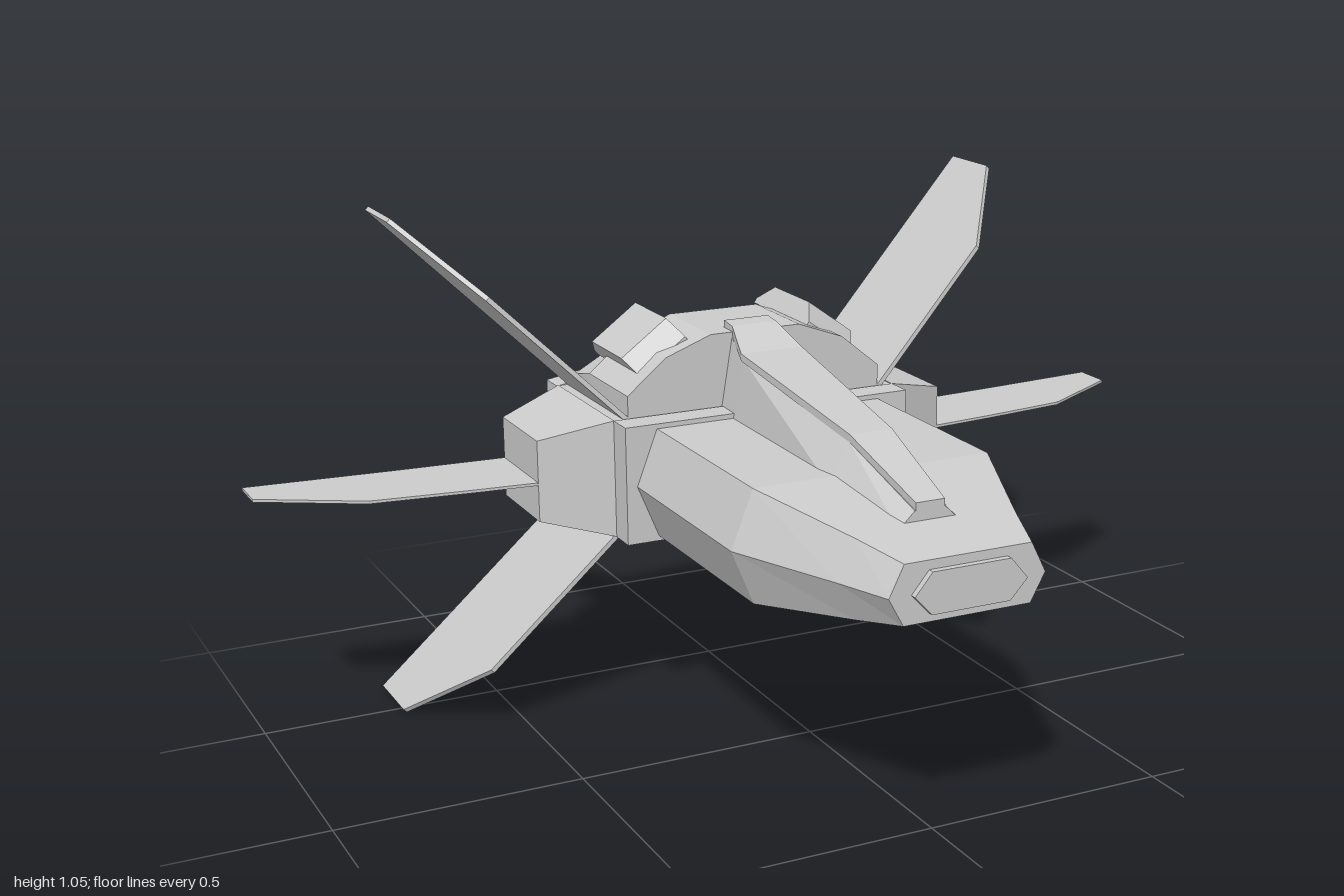
import * as THREE from 'three';

const material = new THREE.MeshStandardMaterial({ color: 0xcccccc, flatShading: true });

// Skin a list of convex rings (counter-clockwise seen from +z, ordered back to front) and cap both ends
function loft(rings) {
  const n = rings[0].length, last = (rings.length - 1) * n, index = [];
  for (let r = 0; r < rings.length - 1; r++)
    for (let i = 0; i < n; i++) {
      const a = r * n + i, b = r * n + (i + 1) % n;
      index.push(a, b, b + n, a, b + n, a + n);
    }
  for (let i = 1; i < n - 1; i++) {
    index.push(0, i + 1, i);
    index.push(last, last + i, last + i + 1);
  }
  const g = new THREE.BufferGeometry();
  g.setAttribute('position', new THREE.Float32BufferAttribute(rings.flat(2), 3));
  g.setIndex(index);
  const flat = g.toNonIndexed();
  flat.computeVertexNormals();
  return flat;
}

// Six-sided ring: w = half width at the waist, t = half width at top and bottom
const hexRing = (z, w, t, bottom, mid, top) => [
  [w, mid, z], [t, top, z], [-t, top, z], [-w, mid, z], [-t, bottom, z], [t, bottom, z]];

// Four-sided ring, tapering from base to top
const quadRing = (z, base, top, y0, y1) => [
  [base, y0, z], [top, y1, z], [-top, y1, z], [-base, y0, z]];

// Symmetric ring from its right-hand half, listed bottom to top
const mirrorRing = (z, half) => [
  ...half.map(([x, y]) => [x, y, z]),
  ...half.slice().reverse().map(([x, y]) => [-x, y, z])];

// Thin plate from an outline of (distance outward, z), tilted about the z axis
function blade(outline, thickness, angle, x, y) {
  const shape = new THREE.Shape(outline.map(p => new THREE.Vector2(...p)));
  const g = new THREE.ExtrudeGeometry(shape, { depth: thickness, bevelEnabled: false });
  g.translate(0, 0, -thickness / 2);
  g.rotateX(Math.PI / 2);
  g.rotateZ(angle);
  g.translate(x, y, 0);
  return g;
}

export function createModel() {
  const group = new THREE.Group();
  const add = (name, geometry) => {
    const mesh = new THREE.Mesh(geometry, material);
    mesh.name = name;
    group.add(mesh);
    return mesh;
  };

  // Long hull with a tapering nose and a small nose plate
  add('hull', loft([
    hexRing(-0.2, 0.295, 0.25, 0.41, 0.52, 0.635),
    hexRing(0.26, 0.295, 0.25, 0.41, 0.52, 0.635),
    hexRing(0.5, 0.2, 0.165, 0.445, 0.52, 0.598),
    hexRing(0.612, 0.16, 0.13, 0.465, 0.52, 0.58)]));
  add('nosePlate', loft([
    hexRing(0.6, 0.115, 0.08, 0.482, 0.52, 0.562),
    hexRing(0.625, 0.115, 0.08, 0.482, 0.52, 0.562)]));

  // Collar and the engine section behind it
  const collar = new THREE.BoxGeometry(0.636, 0.245, 0.06);
  add('collar', collar.translate(0, 0.5225, -0.21));
  const core = new THREE.BoxGeometry(0.636, 0.242, 0.32);
  add('engineSection', core.translate(0, 0.5225, -0.395));

  // Faceted hump on top of the engine section
  add('upperHump', loft([
    mirrorRing(-0.55, [[0.285, 0.63], [0.28, 0.665], [0.19, 0.715], [0.1, 0.74]]),
    mirrorRing(-0.45, [[0.285, 0.63], [0.285, 0.69], [0.2, 0.76], [0.1, 0.797]]),
    mirrorRing(-0.245, [[0.285, 0.63], [0.285, 0.69], [0.2, 0.76], [0.1, 0.797]])]));

  // Rear bulkhead with an exhaust plate
  const rear = [[0.16, 0.37], [0.32, 0.402], [0.32, 0.643], [0.19, 0.665]];
  add('rearBulkhead', loft([mirrorRing(-0.61, rear), mirrorRing(-0.55, rear)]));
  add('exhaustPlate', loft([
    hexRing(-0.625, 0.255, 0.2, 0.43, 0.52, 0.615),
    hexRing(-0.6, 0.255, 0.2, 0.43, 0.52, 0.615)]));

  // Raised spine with a thin cover plate
  add('spine', loft([
    quadRing(-0.27, 0.08, 0.05, 0.62, 0.795),
    quadRing(-0.17, 0.085, 0.062, 0.62, 0.755),
    quadRing(0.25, 0.092, 0.045, 0.62, 0.693),
    quadRing(0.475, 0.065, 0.032, 0.59, 0.622)]));
  add('spineCover', loft([
    quadRing(-0.29, 0.05, 0.05, 0.79, 0.812),
    quadRing(-0.25, 0.05, 0.05, 0.785, 0.808),
    quadRing(-0.17, 0.068, 0.068, 0.755, 0.77),
    quadRing(0.25, 0.045, 0.045, 0.692, 0.708),
    quadRing(0.475, 0.03, 0.03, 0.62, 0.637)]));

  // Blade outlines: distance outward, then z
  const upperFin = [[-0.06, -0.24], [0, -0.245], [0.365, -0.29], [0.555, -0.475], [0.555, -0.622], [0, -0.55], [-0.06, -0.545]];
  const lowerFin = [[-0.06, -0.24], [0, -0.245], [0.372, -0.287], [0.56, -0.475], [0.56, -0.622], [0, -0.55], [-0.06, -0.545]];
  const sideWing = [[0.4, -0.29], [0.6, -0.31], [0.8, -0.335], [1, -0.45], [1, -0.535], [0.7, -0.51], [0.4, -0.49]];

  for (const side of [1, -1]) {
    const label = side > 0 ? 'left' : 'right';
    const tilt = a => (side > 0 ? a : Math.PI - a);

    // Tapered engine block: lofted along z, then turned outward
    const block = loft([
      [[0.155, -0.1225, 0], [0.155, 0.1225, 0], [-0.155, 0.1225, 0], [-0.155, -0.1225, 0]],
      [[0.1, -0.085, 0.145], [0.1, 0.085, 0.145], [-0.1, 0.085, 0.145], [-0.1, -0.085, 0.145]]]);
    block.rotateY(side * Math.PI / 2);
    add(label + 'EngineBlock', block.translate(side * 0.317, 0.5225, -0.395));

    // Chamfered pod on the shoulder of the hump
    const pod = loft([
      [[0.062, 0, -0.125], [0.062, 0.012, -0.125], [-0.062, 0.012, -0.125], [-0.062, 0, -0.125]],
      [[0.062, 0, -0.08], [0.062, 0.05, -0.08], [-0.062, 0.05, -0.08], [-0.062, 0, -0.08]],
      [[0.062, 0, 0.08], [0.062, 0.05, 0.08], [-0.062, 0.05, 0.08], [-0.062, 0, 0.08]],
      [[0.062, 0, 0.125], [0.062, 0.012, 0.125], [-0.062, 0.012, 0.125], [-0.062, 0, 0.125]]]);
    pod.rotateZ(-side * 0.63);
    add(label + 'Pod', pod.translate(side * 0.184, 0.744, -0.405));

    // Diagonal fins and horizontal wing
    add(label + 'UpperFin', blade(upperFin, 0.01, tilt(Math.PI / 4), side * 0.295, 0.65));
    add(label + 'LowerFin', blade(lowerFin, 0.01, tilt(-Math.PI / 4), side * 0.315, 0.4));
    add(label + 'Wing', blade(sideWing, 0.006, tilt(0), 0, 0.517));
  }
  return group;
}
